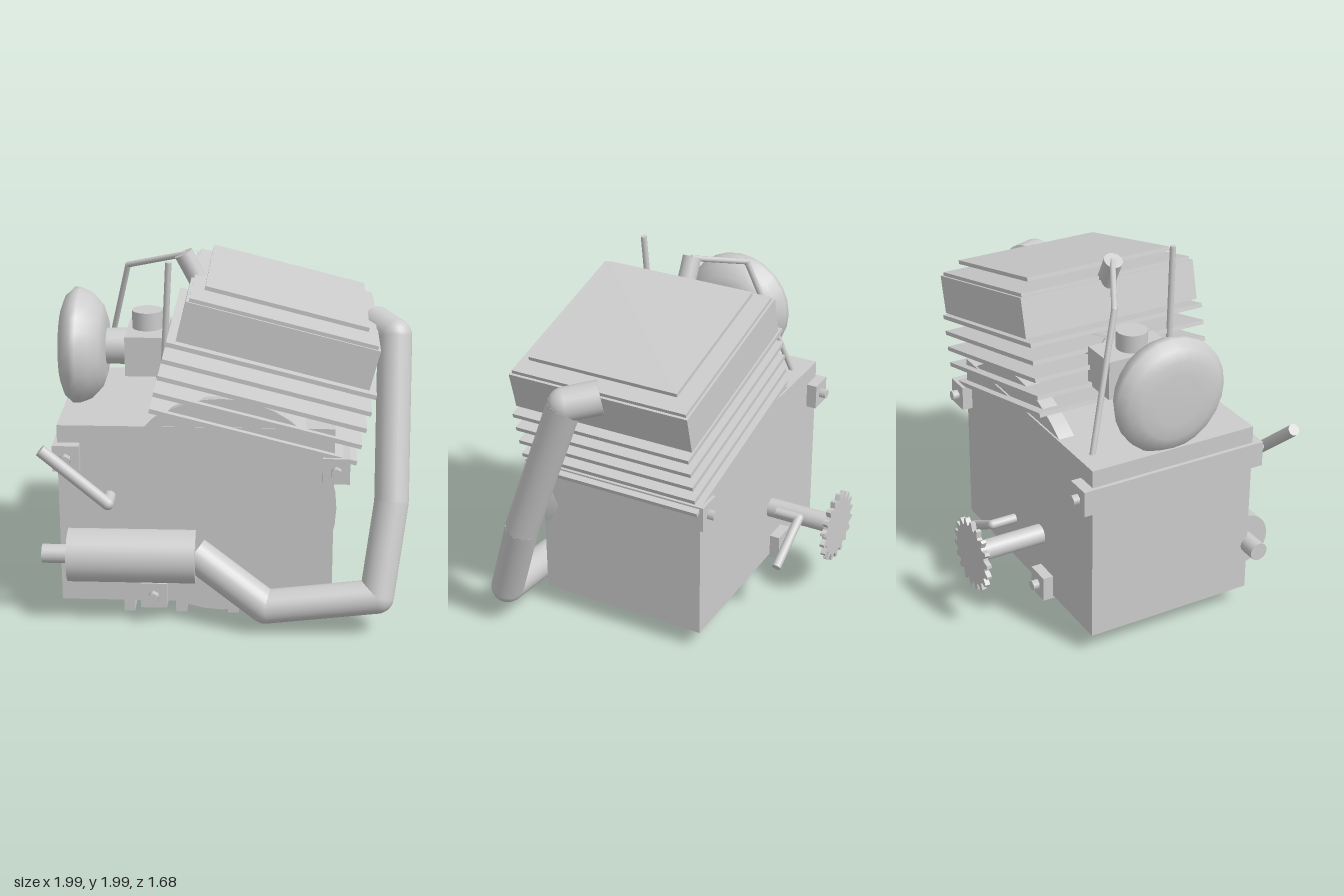
import * as THREE from 'three';

const V = (x, y, z) => new THREE.Vector3(x, y, z);

export function createModel() {
  const model = new THREE.Group();
  model.name = 'engine';
  const metal = new THREE.MeshStandardMaterial({ color: 0xcccccc });
  metal.name = 'greyMetal';

  function add(name, geometry, parent = model) {
    const mesh = new THREE.Mesh(geometry, metal);
    mesh.name = name;
    parent.add(mesh);
    return mesh;
  }

  // Box given by its low and high corners
  function box(name, x0, x1, y0, y1, z0, z1, parent = model) {
    const mesh = add(name, new THREE.BoxGeometry(x1 - x0, y1 - y0, z1 - z0), parent);
    mesh.position.set((x0 + x1) / 2, (y0 + y1) / 2, (z0 + z1) / 2);
    return mesh;
  }

  // Cylinder or cone running from a to b
  function rod(name, a, b, r, sides = 20, r2 = r) {
    const dir = b.clone().sub(a);
    const mesh = add(name, new THREE.CylinderGeometry(r2, r, dir.length(), sides));
    mesh.position.copy(a).add(b).multiplyScalar(0.5);
    mesh.quaternion.setFromUnitVectors(V(0, 1, 0), dir.normalize());
    return mesh;
  }

  // Chain of rods with ball joints at the inner bends
  function pipe(name, points, r, sides = 20) {
    for (let i = 1; i < points.length; i++) {
      rod(name, points[i - 1], points[i], r, sides);
      if (i < points.length - 1) {
        add(name + 'Elbow', new THREE.SphereGeometry(r, sides, 12)).position.copy(points[i]);
      }
    }
  }

  // Crankcase and feet
  box('crankcase', -0.9, 0.58, 0.11, 1.13, -0.41, 0.575);
  for (const x of [-0.54, -0.25, 0.04, 0.325]) {
    box('foot', x - 0.03, x + 0.03, 0, 0.12, -0.32, 0.49);
  }

  // Mounting lugs with a hex bolt at each end
  for (const [x, y] of [[0.59, 0.91], [-0.85, 0.96], [-0.39, 0.165]]) {
    box('mountingLug', x - 0.072, x + 0.072, y - 0.072, y + 0.072, -0.47, 0.63);
    rod('bolt', V(x, y, -0.507), V(x, y, 0.67), 0.03, 6);
  }

  // Round crank chamber showing around the case
  rod('crankChamber', V(-0.02, 0.675, 0.48), V(-0.02, 0.675, 0.572), 0.6, 40, 0.615);
  const R = 0.86, half = 0.63;
  const arch = new THREE.Shape();
  arch.absarc(0, 0, R, Math.PI / 2 - half, Math.PI / 2 + half, false);
  add('rearArch', new THREE.ExtrudeGeometry(arch, { depth: 0.09, bevelEnabled: false, curveSegments: 24 }))
    .position.set(-0.03, 1.285 - R, -0.4);

  // Tilted cylinder: head, lid plates, cooling fins and barrel
  const cylinder = new THREE.Group();
  cylinder.name = 'cylinder';
  cylinder.position.set(0.275, 1.6, 0.08);
  cylinder.rotation.z = -0.248;
  model.add(cylinder);
  box('head', -0.52, 0.52, -0.115, 0.105, -0.53, 0.53, cylinder);
  box('headGasket', -0.505, 0.505, 0.105, 0.125, -0.517, 0.517, cylinder);
  box('headLid', -0.44, 0.44, 0.165, 0.187, -0.44, 0.44, cylinder);
  for (let i = 0; i < 5; i++) {
    const v = -0.145 - 0.095 * i;
    box('coolingFin', -0.567, 0.567, v - 0.012, v + 0.012, -0.53, 0.53, cylinder);
  }
  add('barrel', new THREE.CylinderGeometry(0.3, 0.3, 0.62, 40), cylinder).position.y = -0.42;

  // Carburettor
  box('carburettor', -0.56, -0.335, 1.31, 1.53, -0.12, 0.28);
  rod('carburettorCap', V(-0.45, 1.52, 0.08), V(-0.45, 1.63, 0.08), 0.085, 24);
  rod('intakeFlange', V(-0.35, 1.44, 0.08), V(-0.27, 1.42, 0.08), 0.14, 24, 0.1);
  rod('intakePipe', V(-0.29, 1.42, 0.08), V(0.05, 1.34, 0.08), 0.09, 24);
  rod('carburettorStrut', V(-0.44, 1.31, 0.08), V(-0.35, 1.2, 0.08), 0.02, 12);

  // Air cleaner drum with its neck
  const profile = [[0, -0.13], [0.14, -0.13], [0.22, -0.122], [0.28, -0.1], [0.322, -0.055],
    [0.322, -0.02], [0.29, 0.045], [0.23, 0.1], [0.16, 0.125], [0, 0.125]];
  const drum = add('airCleaner', new THREE.LatheGeometry(
    profile.map(([r, y]) => new THREE.Vector2(r, y)), 24));
  drum.rotation.z = -Math.PI / 2;
  drum.position.set(-0.8, 1.42, 0.08);
  rod('airCleanerNeck', V(-0.7, 1.42, 0.08), V(-0.55, 1.42, 0.08), 0.1, 24);

  // Spark plug, its lead and the throttle rod
  rod('sparkPlug', V(-0.165, 1.79, 0.08), V(-0.25, 1.95, 0.08), 0.052);
  pipe('sparkPlugLead', [V(-0.24, 1.945, 0.08), V(-0.57, 1.835, -0.1), V(-0.745, 1.12, -0.325)], 0.016, 10);
  rod('throttleRod', V(-0.35, 1.2, 0.375), V(-0.305, 1.985, 0.415), 0.017, 12);

  // Exhaust
  pipe('exhaustPipe', [V(0.79, 1.57, 0.06), V(0.897, 1.54, 0.21), V(0.892, 0.7, 0.52),
    V(0.82, 0.215, 0.69), V(0.22, 0.145, 0.695), V(-0.17, 0.41, 0.6)], 0.093, 24);
  rod('muffler', V(-0.855, 0.388, 0.587), V(-0.16, 0.388, 0.587), 0.15, 32);
  rod('tailPipe', V(-1, 0.388, 0.587), V(-0.84, 0.388, 0.587), 0.052, 24);

  // Front and rear levers
  pipe('frontLever', [V(-0.61, 0.78, 0.7), V(-0.61, 0.78, 0.805), V(-0.955, 1.075, 0.805)], 0.033, 14);
  pipe('rearLever', [V(-0.195, 0.5, -0.505), V(-0.195, 0.5, -0.645), V(0.1, 0.335, -0.645)], 0.026, 14);

  // Output shaft and toothed sprocket
  rod('outputShaft', V(-0.318, 0.437, -0.4), V(-0.318, 0.437, -0.82), 0.056, 24);
  const teeth = 18, gear = new THREE.Shape();
  for (let i = 0; i < teeth; i++) {
    [[0, 0.17], [0.25, 0.17], [0.5, 0.205], [0.75, 0.205]].forEach(([f, r], k) => {
      const a = (i + f) / teeth * Math.PI * 2;
      gear[i + k ? 'lineTo' : 'moveTo'](Math.cos(a) * r, Math.sin(a) * r);
    });
  }
  add('sprocket', new THREE.ExtrudeGeometry(gear, { depth: 0.028, bevelEnabled: false }))
    .position.set(-0.318, 0.437, -0.84);

  return model;
}
